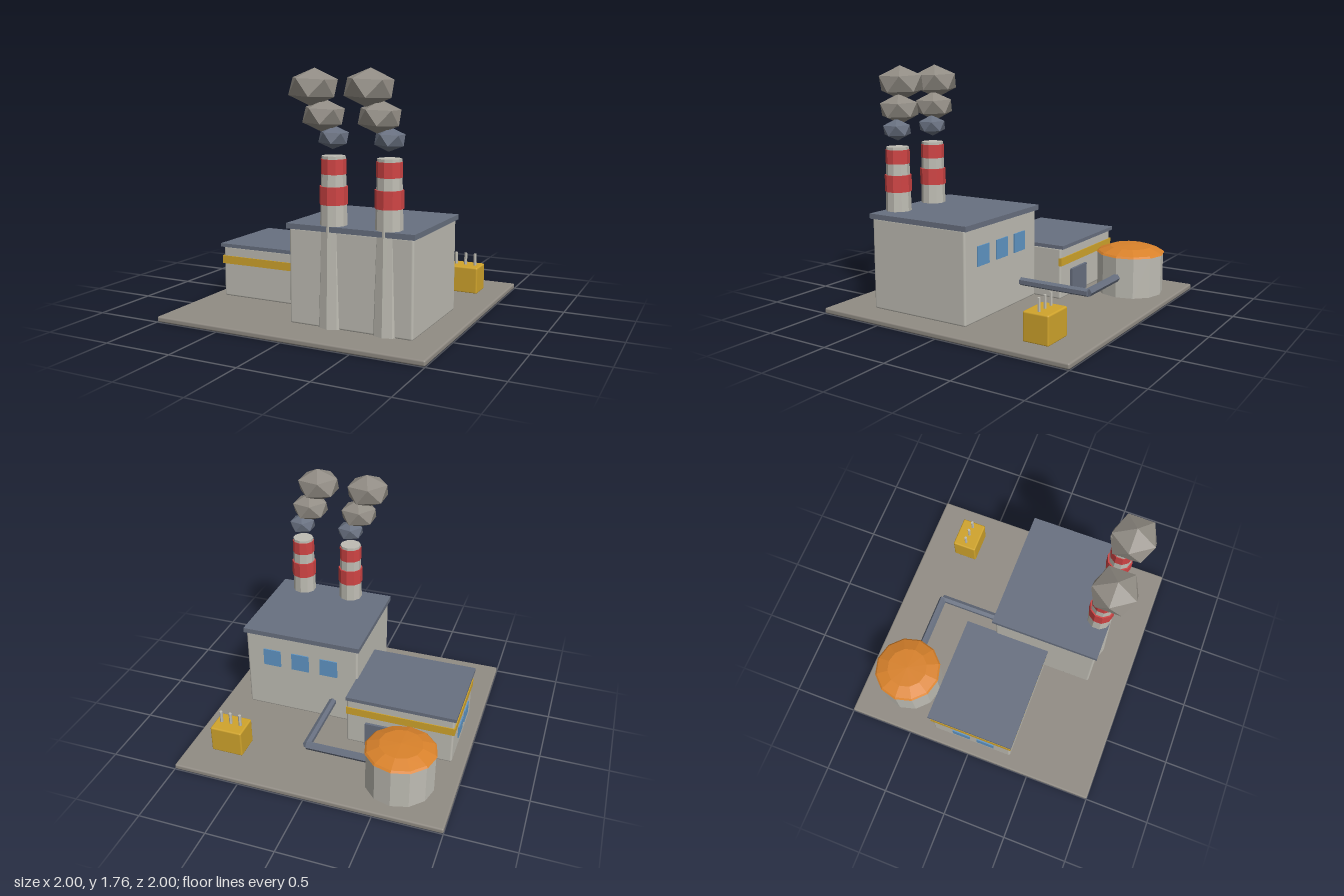
import * as THREE from 'three';
import { RoundedBoxGeometry } from 'three/addons/geometries/RoundedBoxGeometry.js';

const paint = (name, color) => {
  const m = new THREE.MeshStandardMaterial({ color });
  m.name = name;
  return m;
};

// Faceted normals for low-poly round parts
function facet(geometry) {
  const g = geometry.index ? geometry.toNonIndexed() : geometry;
  g.computeVertexNormals();
  return g;
}

export function createModel() {
  const model = new THREE.Group();
  model.name = 'powerPlant';

  const concrete = paint('warm grey', 0x918c84);
  const wall = paint('light grey', 0xbebcb3);
  const slate = paint('slate', 0x687080);
  const yellow = paint('yellow', 0xd0a42c);
  const orange = paint('orange', 0xd9822b);
  const red = paint('red', 0xcf4444);
  const glass = paint('window blue', 0x5f95c4);

  const add = (parent, name, geometry, material, x = 0, y = 0, z = 0) => {
    const mesh = new THREE.Mesh(geometry, material);
    mesh.name = name;
    mesh.position.set(x, y, z);
    parent.add(mesh);
    return mesh;
  };

  // Boxes given by their minimum and maximum corners
  const box = (parent, name, material, a, b, radius = 0) => {
    const s = a.map((v, i) => b[i] - v);
    const c = a.map((v, i) => (b[i] + v) / 2);
    const g = radius ? new RoundedBoxGeometry(...s, 2, radius) : new THREE.BoxGeometry(...s);
    return add(parent, name, g, material, ...c);
  };

  const group = (name, x = 0, y = 0, z = 0) => {
    const g = new THREE.Group();
    g.name = name;
    g.position.set(x, y, z);
    model.add(g);
    return g;
  };

  const prism = (rTop, rBottom, h, sides) => facet(new THREE.CylinderGeometry(rTop, rBottom, h, sides));

  // Ground slab
  box(model, 'groundSlab', concrete, [-1, 0, -1], [1, 0.04, 1], 0.012);

  // Tall main hall with three windows on the back
  const hall = group('mainHall');
  box(hall, 'mainWalls', wall, [-0.1, 0.035, -0.1], [0.8, 0.7, 0.7], 0.016);
  box(hall, 'mainRoof', slate, [-0.115, 0.693, -0.12], [0.812, 0.73, 0.715]);
  for (const x of [0.13, 0.36, 0.59]) {
    box(hall, 'mainWindow', glass, [x - 0.07, 0.425, -0.109], [x + 0.07, 0.565, -0.1]);
  }

  // Low annex with band, side windows and back door
  const annex = group('annex');
  box(annex, 'annexWalls', wall, [-0.9, 0.035, -0.325], [-0.09, 0.425, 0.32], 0.016);
  box(annex, 'annexBand', yellow, [-0.907, 0.29, -0.332], [-0.09, 0.35, 0.327]);
  box(annex, 'annexRoof', slate, [-0.915, 0.418, -0.343], [-0.09, 0.445, 0.335]);
  for (const z of [-0.085, 0.115]) {
    box(annex, 'annexWindow', glass, [-0.909, 0.135, z - 0.07], [-0.9, 0.235, z + 0.07]);
  }
  box(annex, 'annexDoor', slate, [-0.47, 0.04, -0.345], [-0.24, 0.24, -0.32]);

  // Two tapered chimneys with painted collars and drifting smoke
  const puffs = [
    { r: 0.11, at: [0, 1.31, 0], m: slate },
    { r: 0.153, at: [-0.06, 1.452, 0.025], m: concrete },
    { r: 0.177, at: [-0.12, 1.635, 0.055], m: concrete },
  ];
  for (const x of [0.2, 0.6]) {
    const stack = group('chimney', x, 0, 0.626);
    add(stack, 'chimneyShaft', prism(0.08, 0.11, 1.15, 10), wall, 0, 0.615, 0);
    add(stack, 'lowerCollar', prism(0.096, 0.096, 0.12, 10), red, 0, 0.93, 0);
    add(stack, 'upperCollar', prism(0.086, 0.086, 0.1, 10), red, 0, 1.12, 0);
    for (const p of puffs) {
      const g = new THREE.IcosahedronGeometry(p.r, 0).rotateZ(0.49).scale(1, 0.71, 1);
      add(stack, 'smokePuff', facet(g), p.m, ...p.at);
    }
  }

  // Storage tank with a shallow domed lid
  const tank = group('storageTank', -0.6, 0, -0.652);
  add(tank, 'tankBody', prism(0.25, 0.25, 0.305, 12), wall, 0, 0.1925, 0);
  const lid = [[0, 0.342], [0.258, 0.342], [0.245, 0.355], [0.155, 0.389], [0, 0.396]];
  const lidGeometry = new THREE.LatheGeometry(lid.map(([r, y]) => new THREE.Vector2(r, y)), 12);
  add(tank, 'tankLid', facet(lidGeometry), orange);

  // Pipe from the tank to the main hall
  const pipes = group('pipeline');
  const pipeX = prism(0.03, 0.03, 0.5, 6).rotateZ(Math.PI / 2);
  const pipeZ = prism(0.03, 0.03, 0.56, 6).rotateX(Math.PI / 2);
  add(pipes, 'tankPipe', pipeX, slate, -0.15, 0.19, -0.652);
  add(pipes, 'hallPipe', pipeZ, slate, 0.1, 0.19, -0.375);

  // Transformer with three terminals
  const transformer = group('transformer');
  box(transformer, 'transformerCase', yellow, [0.575, 0.035, -0.753], [0.82, 0.24, -0.56], 0.012);
  for (const x of [0.622, 0.697, 0.772]) {
    add(transformer, 'terminal', prism(0.012, 0.012, 0.1, 6), wall, x, 0.28, -0.655);
  }

  return model;
}
